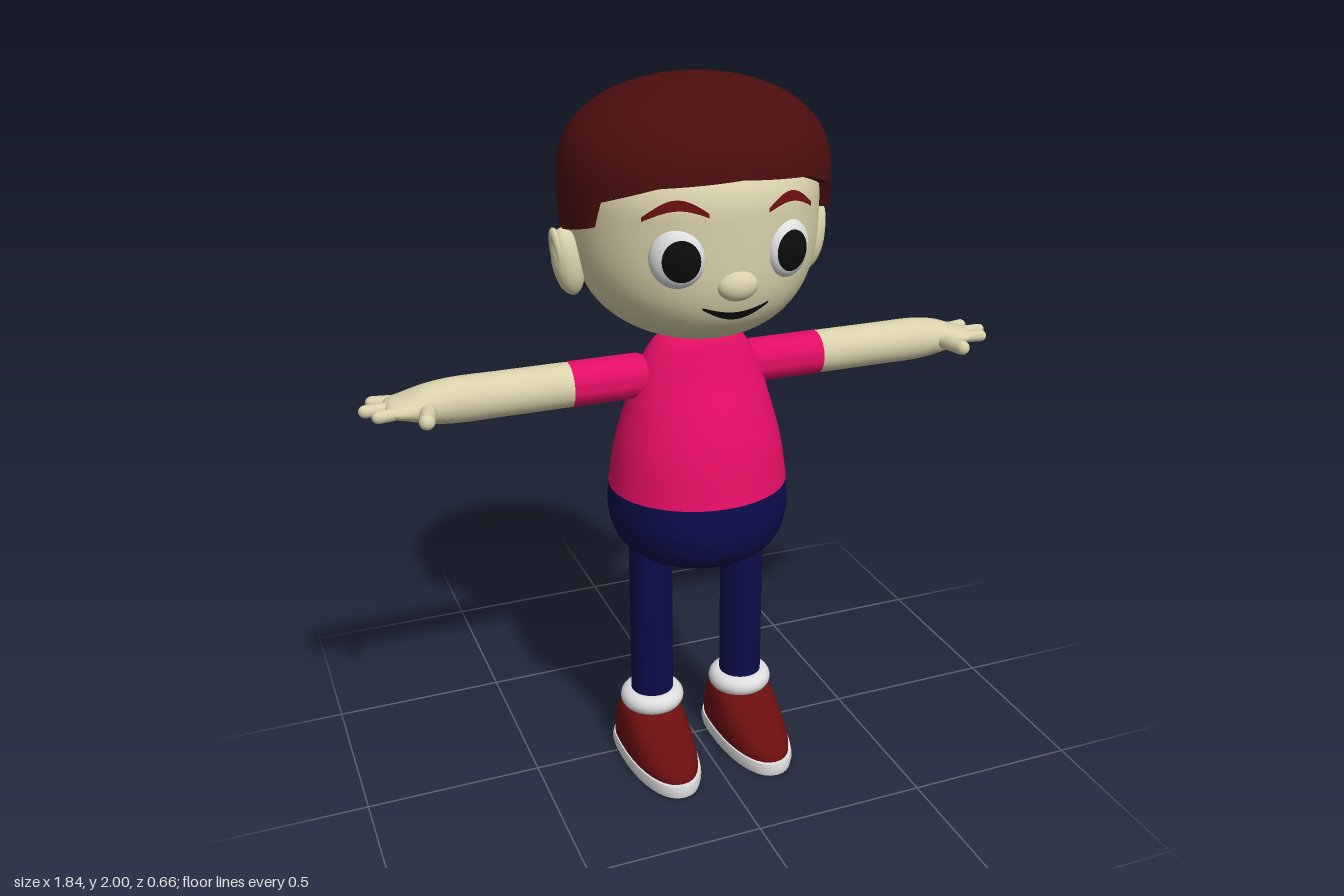
import * as THREE from 'three';
import { toCreasedNormals } from 'three/addons/utils/BufferGeometryUtils.js';

const mat = (name, color) => Object.assign(new THREE.MeshStandardMaterial({ color }), { name });
const skin = mat('skin', 0xd9d1ab), hairBrown = mat('hair brown', 0x4c0e0e);
const pink = mat('shirt pink', 0xe20e64), navy = mat('navy', 0x0c0c4b);
const red = mat('shoe red', 0x6b0f10), white = mat('white', 0xdedede), black = mat('black', 0x0c0c0c);

function add(parent, name, geometry, material, x = 0, y = 0, z = 0) {
  const mesh = new THREE.Mesh(geometry, material);
  mesh.name = name;
  mesh.position.set(x, y, z);
  parent.add(mesh);
  return mesh;
}

// Closed surface of rings: fn(angle from the front, height step 0..1) gives a point
function rings(nu, nv, fn) {
  const pos = [], idx = [];
  for (let j = 0; j <= nv; j++)
    for (let i = 0; i < nu; i++) pos.push(...fn((i / nu) * Math.PI * 2, j / nv));
  for (let j = 0; j < nv; j++)
    for (let i = 0; i < nu; i++) {
      const a = j * nu + i, b = j * nu + (i + 1) % nu;
      idx.push(a, b, b + nu, a, b + nu, a + nu);
    }
  const g = new THREE.BufferGeometry();
  g.setAttribute('position', new THREE.Float32BufferAttribute(pos, 3));
  g.setIndex(idx);
  g.computeVertexNormals();
  return g;
}

const spow = (v, e) => Math.sign(v) * Math.pow(Math.abs(v), e);

// Upright loft through [half width, height, front depth]; back > 0 sets back depth from width
function loft(profile, { back = 0, eFront = 2, eBack = 2, sharp = false, steps = 28 } = {}) {
  const pts = profile.map(p => new THREE.Vector3(...p));
  const curve = new THREE.CatmullRomCurve3(pts, false, 'centripetal');
  const n = sharp ? pts.length - 1 : steps;
  const g = rings(40, n, (a, v) => {
    const p = sharp ? pts[Math.round(v * n)] : curve.getPoint(v);
    const s = Math.sin(a), c = Math.cos(a), e = 2 / (c > 0 ? eFront : eBack);
    return [p.x * spow(s, e), p.y, spow(c, e) * (c < 0 && back ? p.x * back : p.z)];
  });
  return sharp ? toCreasedNormals(g, 0.7) : g;
}

// Rounded head-like shell, with its own curvature to the side, front and back
const HEAD = { c: 1.68, up: 0.2, down: 0.37, rx: 0.335, zf: 0.305, zb: 0.3, ex: 3, ef: 4.6, eb: 2 };
const HAIR = { c: 1.74, up: 0.26, down: 0.43, rx: 0.364, zf: 0.325, zb: 0.33, ex: 3.2, ef: 3.2, eb: 2.2 };
function shellSize(s, y) {
  const d = Math.min(1, Math.abs(y - s.c) / (y > s.c ? s.up : s.down));
  const f = e => Math.sqrt(Math.max(0, 1 - Math.pow(d, y > s.c ? 2.5 : e)));
  return { x: s.rx * f(s.ex), front: s.zf * f(s.ef), back: s.zb * f(s.eb) };
}
function shellPoint(s, a, y, k = 1) {
  const r = shellSize(s, y), c = Math.cos(a);
  return [k * r.x * Math.sin(a), y, k * c * (c > 0 ? r.front : r.back)];
}
function faceZ(x, y) {
  const r = shellSize(HEAD, y);
  return r.front * Math.sqrt(1 - (x / r.x) ** 2);
}

// Thin painted strip that follows the face, between a lower and an upper curve
function faceStrip(x0, x1, low, high, n = 20) {
  const pos = [], idx = [];
  for (let i = 0; i <= n; i++) {
    const t = i / n, x = x0 + (x1 - x0) * t;
    for (const y of [low(t), high(t)]) pos.push(x, y, faceZ(x, y) + 0.007);
    if (i < n) idx.push(2 * i, 2 * i + 2, 2 * i + 3, 2 * i, 2 * i + 3, 2 * i + 1);
  }
  const g = new THREE.BufferGeometry();
  g.setAttribute('position', new THREE.Float32BufferAttribute(pos, 3));
  g.setIndex(idx);
  g.computeVertexNormals();
  return g;
}

// Hairline: degrees from the front, height
const HAIRLINE = [[0, 1.785], [33, 1.77], [64, 1.715], [68, 1.65], [80, 1.635], [102, 1.61],
  [106, 1.46], [112, 1.43], [118, 1.39], [135, 1.375], [180, 1.365]];
function hairline(a) {
  const d = THREE.MathUtils.radToDeg(a > Math.PI ? 2 * Math.PI - a : a);
  const i = Math.max(1, HAIRLINE.findIndex(p => p[0] >= d - 1e-6));
  const [p, q] = [HAIRLINE[i - 1], HAIRLINE[i]];
  return p[1] + (q[1] - p[1]) * (d - p[0]) / (q[0] - p[0]);
}

const ball = (rx, ry, rz) => new THREE.SphereGeometry(1, 32, 20).scale(rx, ry, rz);

function makeHead() {
  const head = new THREE.Group();
  head.name = 'head';
  add(head, 'face', rings(64, 40, (a, v) => {
    const s = Math.sin((v - 0.5) * Math.PI);
    return shellPoint(HEAD, a, HEAD.c + s * (s < 0 ? HEAD.down : HEAD.up));
  }), skin);
  // First ring tucks the hair edge in against the head
  const rows = 30;
  add(head, 'hair', toCreasedNormals(rings(180, rows, (a, v) => {
    const low = hairline(a), j = Math.round(v * rows);
    if (j === 0) return shellPoint(HAIR, a, low, 0.88);
    const t = (j - 1) / (rows - 1);
    return shellPoint(HAIR, a, low + (2 - low) * (1 - (1 - t) ** 2));
  }), 0.8), hairBrown);
  add(head, 'nose', ball(0.055, 0.04, 0.034), skin, 0, 1.515, 0.294);
  add(head, 'mouth', faceStrip(-0.09, 0.09,
    t => 1.457 - 0.034 * Math.sin(Math.PI * t), t => 1.463 - 0.018 * Math.sin(Math.PI * t)), black);

  for (const s of [1, -1]) {
    const eye = new THREE.Group();
    eye.name = s > 0 ? 'leftEye' : 'rightEye';
    eye.position.set(s * 0.15, 1.59, 0.262);
    eye.rotation.y = s * 0.42;
    add(eye, 'eyeWhite', ball(0.071, 0.076, 0.038), white);
    add(eye, 'pupil', new THREE.SphereGeometry(1.04, 32, 10, 0, Math.PI * 2, 0, 0.74)
      .rotateX(Math.PI / 2).rotateY(-s * 0.24).scale(0.071, 0.076, 0.038), black);
    head.add(eye);

    const arch = t => 0.033 * Math.sin(Math.PI * t);
    const lean = t => 0.012 * (s > 0 ? 1 - t : t);
    add(head, 'eyebrow', faceStrip(s > 0 ? 0.08 : -0.23, s > 0 ? 0.23 : -0.08,
      t => 1.683 + arch(t) * 0.7 + lean(t), t => 1.694 + arch(t) * 1.15 + lean(t)), red);

    const ear = add(head, 'ear', ball(0.042, 0.092, 0.043), skin, s * 0.348, 1.533, -0.015);
    ear.rotation.z = -s * 0.16;
    const rim = add(head, 'earRim', new THREE.TorusGeometry(0.03, 0.012, 10, 28)
      .scale(1, 2.05, 1).rotateY(Math.PI / 2), skin, s * 0.37, 1.54, -0.022);
    rim.rotation.z = -s * 0.16;
  }
  return head;
}

// Arm points along +x; it is symmetric in height, so a half turn gives the other one
function makeArm() {
  const arm = new THREE.Group();
  const along = g => g.rotateZ(-Math.PI / 2);
  add(arm, 'sleeve', along(loft([[0, 0.12, 0], [0.05, 0.135, 0.05], [0.062, 0.17, 0.062],
    [0.062, 0.365, 0.062], [0, 0.365, 0]], { sharp: true })), pink);
  add(arm, 'forearmAndPalm', along(loft([[0.061, 0.36, 0.061], [0.061, 0.55, 0.061], [0.06, 0.69, 0.06],
    [0.048, 0.76, 0.065], [0.03, 0.81, 0.07], [0.02, 0.845, 0.06], [0, 0.86, 0]])), skin);
  const finger = (name, r, from, to) => {
    const a = new THREE.Vector3(...from), b = new THREE.Vector3(...to), d = b.clone().sub(a);
    const m = add(arm, name, new THREE.CapsuleGeometry(r, d.length(), 6, 14), skin,
      ...a.clone().add(b).multiplyScalar(0.5).toArray());
    m.quaternion.setFromUnitVectors(new THREE.Vector3(0, 1, 0), d.normalize());
  };
  for (const [z, tip] of [[-0.058, 0.878], [0, 0.905], [0.052, 0.88]])
    finger('finger', 0.017, [0.8, 0, z * 0.75], [tip, 0, z]);
  finger('thumb', 0.021, [0.75, 0, 0.04], [0.772, 0, 0.128]);
  return arm;
}

function makeLeg(side) {
  const leg = new THREE.Group();
  leg.name = side > 0 ? 'leftLeg' : 'rightLeg';
  const x = side * 0.142, foot = { back: 1.28, eFront: 2.2, eBack: 3.2 };
  add(leg, 'trouserLeg', new THREE.CylinderGeometry(0.062, 0.062, 0.6, 32), navy, x, 0.46, 0.018);
  add(leg, 'sock', new THREE.TorusGeometry(0.064, 0.03, 16, 36).rotateX(Math.PI / 2), white, x, 0.186, 0.016);
  add(leg, 'shoe', loft([[0.1, 0.03, 0.255], [0.1, 0.06, 0.248], [0.097, 0.1, 0.19], [0.092, 0.13, 0.135],
    [0.085, 0.15, 0.1], [0.07, 0.165, 0.07], [0, 0.17, 0]], foot), red, side * 0.146, 0, 0.03);
  const slab = (k, y0, y1) => loft([[0, y0, 0], [0.104 * k, y0, 0.266 * k], [0.108 * k, (y0 + y1) / 2, 0.27 * k],
    [0.104 * k, y1, 0.266 * k], [0, y1, 0]], { ...foot, sharp: true });
  add(leg, 'sole', slab(1, 0.002, 0.04), white, side * 0.146, 0, 0.03);
  add(leg, 'tread', slab(0.92, 0, 0.004), red, side * 0.146, 0, 0.03);
  return leg;
}

export function createModel() {
  const model = new THREE.Group();
  model.name = 'boy';
  model.add(makeHead());

  // Torso: shirt above, shorts below
  add(model, 'shirt', loft([[0.255, 0.88, 0.235], [0.238, 1.0, 0.203], [0.212, 1.1, 0.164],
    [0.182, 1.2, 0.115], [0.155, 1.26, 0.091], [0.115, 1.31, 0.068], [0, 1.335, 0]]), pink, 0, 0, 0.024);
  add(model, 'shorts', loft([[0, 0.648, 0], [0.1, 0.654, 0.1], [0.175, 0.675, 0.175], [0.23, 0.72, 0.227],
    [0.253, 0.78, 0.246], [0.257, 0.82, 0.246], [0.255, 0.88, 0.235]]), navy, 0, 0, 0.024);

  for (const side of [1, -1]) {
    const arm = makeArm();
    arm.name = side > 0 ? 'leftArm' : 'rightArm';
    arm.position.set(0, 1.203, 0.012);
    if (side < 0) arm.rotation.z = Math.PI;
    model.add(arm, makeLeg(side));
  }
  return model;
}
